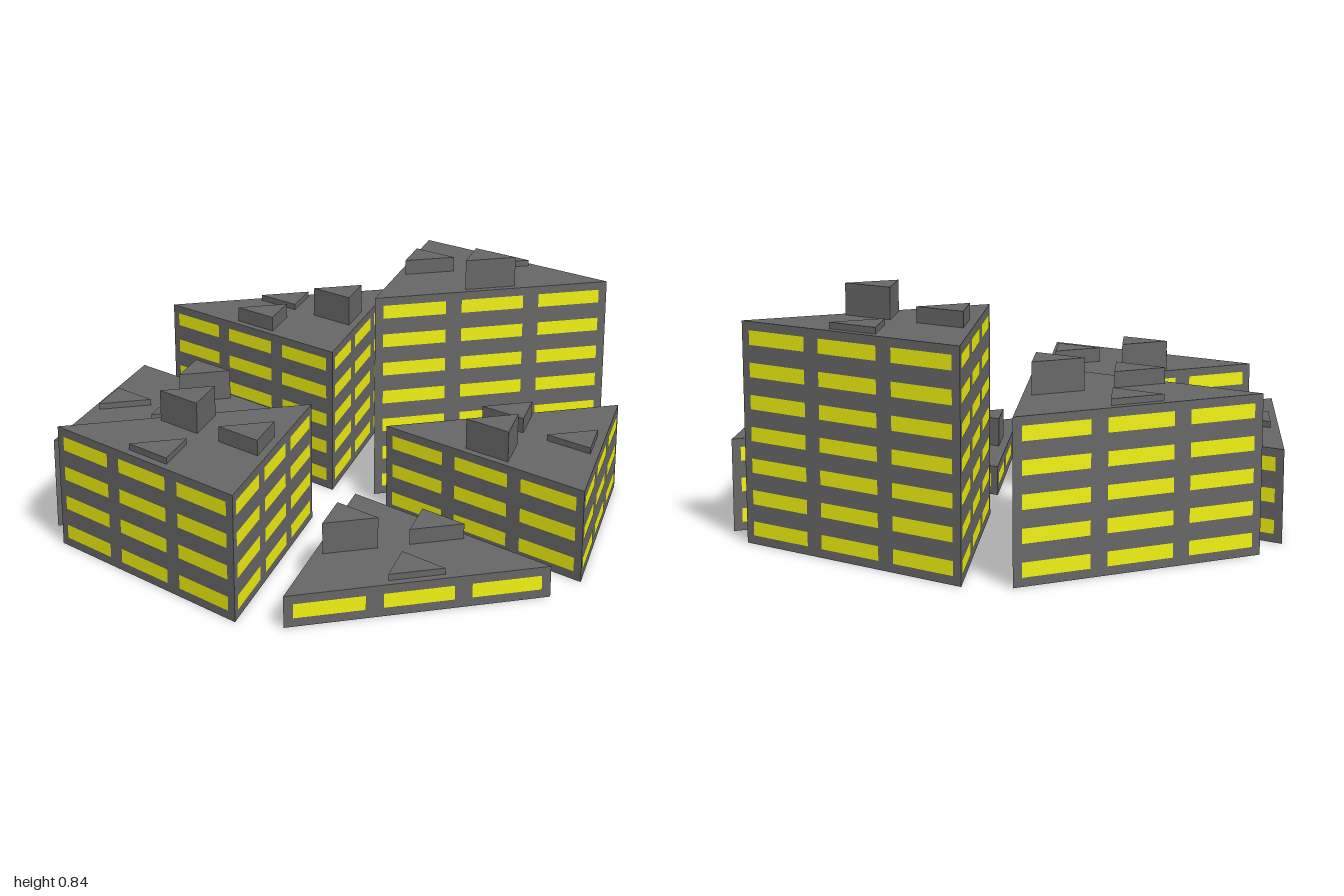
import * as THREE from 'three';
import { mergeGeometries } from 'three/addons/utils/BufferGeometryUtils.js';

const RING = 0.655;      // distance of each tower's centre from the middle
const R = 0.5;           // circumradius of a tower's triangle
const FLOOR = 0.1045;    // storey height
const THIRD = Math.PI * 2 / 3;

const wallMat = new THREE.MeshStandardMaterial({ color: 0x666666, flatShading: true });
const windowMat = new THREE.MeshStandardMaterial({ color: 0xf0f010 });

// Triangular prism standing on y = 0 with one corner towards -z
function prism(radius, height) {
  return new THREE.CylinderGeometry(radius, radius, height, 3, 1, false, Math.PI)
    .translate(0, height / 2, 0);
}

function addMesh(group, name, geometry, material) {
  const mesh = new THREE.Mesh(geometry, material);
  mesh.name = name;
  group.add(mesh);
  return mesh;
}

// Three panes per storey on each of the three walls
function windowPanes(floors) {
  const panes = [];
  for (let side = 0; side < 3; side++) {
    for (let f = 0; f < floors; f++) {
      for (let col = -1; col <= 1; col++) {
        panes.push(new THREE.PlaneGeometry(0.23, 0.047)
          .translate(col * 0.288, (f + 0.5) * FLOOR, R / 2 + 0.001)
          .rotateY(side * THIRD));
      }
    }
  }
  return mergeGeometries(panes);
}

function createTower(floors) {
  const tower = new THREE.Group();
  const height = floors * FLOOR;
  addMesh(tower, 'walls', prism(R, height), wallMat);
  addMesh(tower, 'windows', windowPanes(floors), windowMat);

  // Rooftop blocks, one near the middle of each wall
  [0.021, 0.052, 0.105].forEach((h, i) => {
    const a = i * THIRD;
    const block = addMesh(tower, 'roofBlock', prism(0.107, h), wallMat);
    block.position.set(Math.sin(a) * 0.168, height, Math.cos(a) * 0.168);
  });
  return tower;
}

export function createModel() {
  const model = new THREE.Group();
  model.name = 'towerRing';

  // Storeys of the towers, from the front one round towards +x
  [4, 1, 3, 7, 5, 3].forEach((floors, i) => {
    const a = i * Math.PI / 3;
    const tower = createTower(floors);
    tower.name = 'tower' + (i + 1);
    tower.position.set(Math.sin(a) * RING, 0, Math.cos(a) * RING);
    tower.rotation.y = a;
    model.add(tower);
  });
  return model;
}
